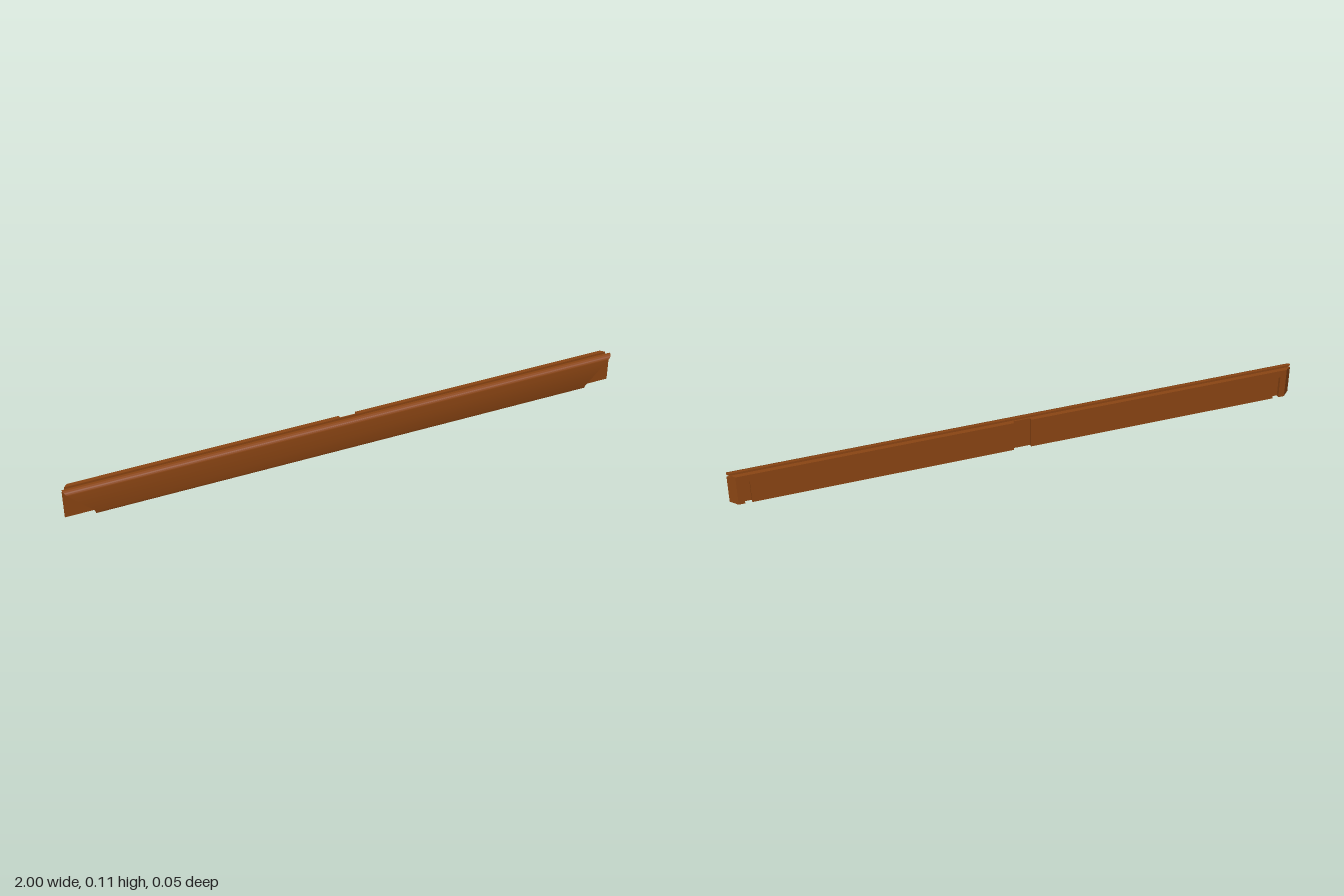
import * as THREE from 'three';
import { toCreasedNormals } from 'three/addons/utils/BufferGeometryUtils.js';

const HEIGHT = 0.113, GROOVE_Y = 0.105, SLOT_Y = 0.085;
const BACK = -0.023, SEAM = 0.002, FRONT = 0.023, GROOVE_BACK = -0.009;
const NOTCH_Z = -0.013, SLOT_Z = -0.011;

// Half-length of the back board at depth z: its ends taper towards the back
const halfLength = (z) => 1 - (SEAM - z);

// Horizontal slice of the back board, seen from above, between two heights
function slice(frontZ, y0, y1, withSlots) {
  const notchZ = Math.min(NOTCH_Z, frontZ);
  const half = [[0, notchZ], [0.03, notchZ], [0.03, BACK]];
  if (withSlots) half.push([0.93, BACK], [0.93, SLOT_Z], [0.953, SLOT_Z], [0.953, BACK]);
  half.push([halfLength(BACK), BACK], [halfLength(frontZ), frontZ]);
  const mirrored = half.slice(1).reverse().map(([x, z]) => [-x, z]);
  const outline = [...half, ...mirrored].map(([x, z]) => new THREE.Vector2(x, -z));
  const geometry = new THREE.ExtrudeGeometry(new THREE.Shape(outline), { depth: y1 - y0, bevelEnabled: false });
  geometry.rotateX(-Math.PI / 2);
  geometry.translate(0, y0, 0);
  return geometry;
}

// Front moulding: rounded upper edge, small lower bevel, mitred ends
function mouldingGeometry() {
  const r = 0.015;
  const profile = new THREE.Shape();
  profile.moveTo(-SEAM, 0);
  profile.lineTo(-SEAM, 0.01);
  profile.lineTo(-SEAM, HEIGHT);
  profile.lineTo(-(FRONT - r), HEIGHT);
  profile.absarc(-(FRONT - r), HEIGHT - r, r, Math.PI / 2, Math.PI, false);
  profile.lineTo(-FRONT, 0.01);
  profile.lineTo(-FRONT + 0.003, 0);
  profile.closePath();
  const geometry = new THREE.ExtrudeGeometry(profile, { depth: 2, bevelEnabled: false, curveSegments: 8 });
  geometry.rotateY(Math.PI / 2);
  geometry.translate(-1, 0, 0);
  const p = geometry.attributes.position;
  for (let i = 0; i < p.count; i++) {
    const y = Math.max(p.getY(i), 0.01);
    p.setX(i, Math.sign(p.getX(i)) * (1 - (HEIGHT - y) * 0.97));
  }
  return toCreasedNormals(geometry, 0.5);
}

export function createModel() {
  const model = new THREE.Group();
  model.name = 'woodenRail';
  const wood = new THREE.MeshStandardMaterial({ color: 0x8b4513 });
  wood.name = 'brownWood';

  const add = (name, geometry) => {
    const mesh = new THREE.Mesh(geometry, wood);
    mesh.name = name;
    model.add(mesh);
  };

  // Back board, stacked so the slots are open below and closed above
  add('slottedBackBoard', slice(SEAM, 0, SLOT_Y, true));
  add('upperBackBoard', slice(SEAM, SLOT_Y, GROOVE_Y, false));
  // Raised lip behind the top groove
  add('backLip', slice(GROOVE_BACK, GROOVE_Y, HEIGHT, false));
  add('frontMoulding', mouldingGeometry());
  return model;
}
